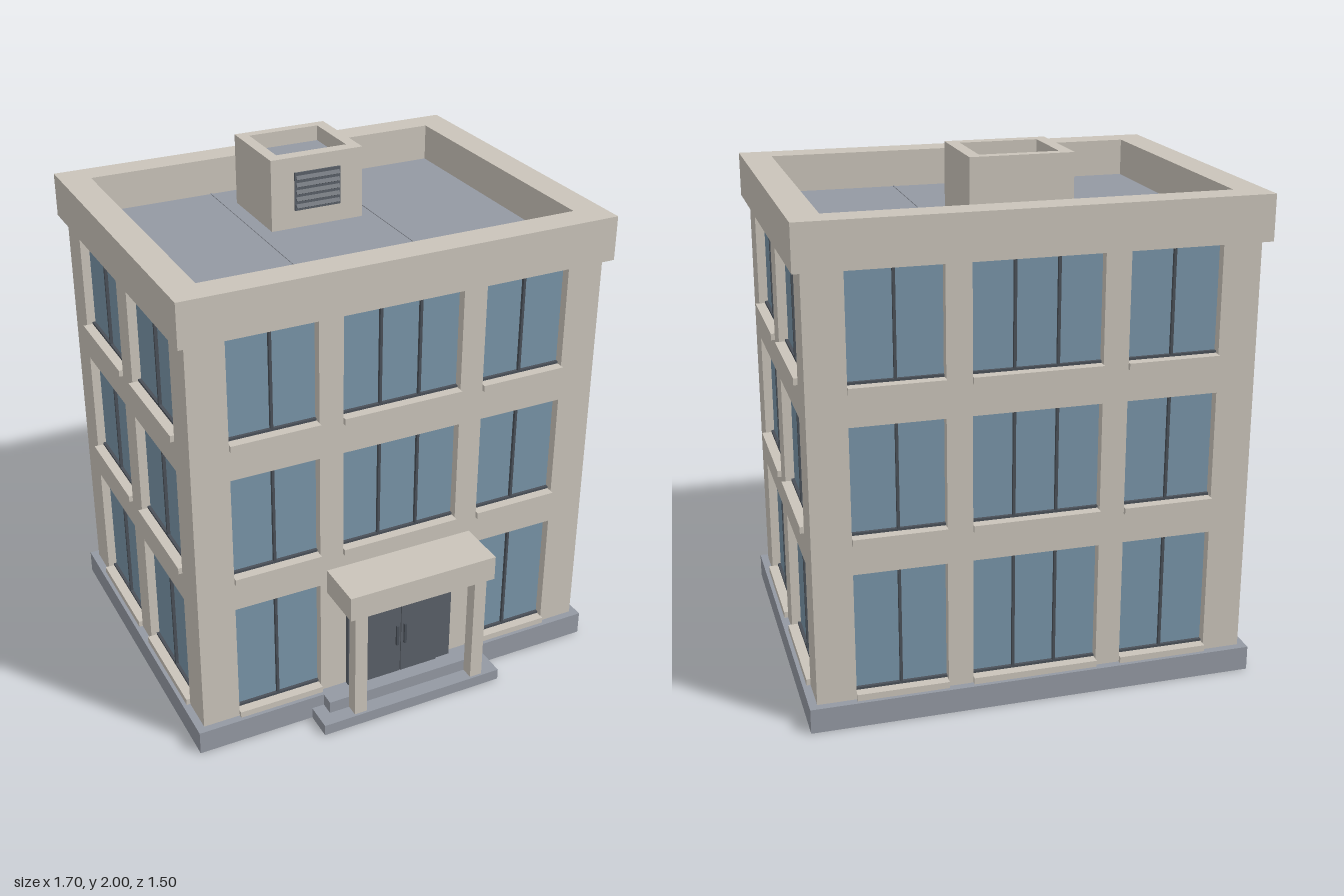
import * as THREE from 'three';

const mat = (name, color) => Object.assign(new THREE.MeshStandardMaterial({ color }), { name });

export function createModel() {
  const stone = mat('stone', 0xcac4ba);
  const slate = mat('slate', 0x9499a3);
  const glass = mat('glass', 0x7894a8);
  const dark = mat('dark metal', 0x5a6068);
  const frame = mat('frame', 0x4a5058);

  const model = new THREE.Group();
  model.name = 'officeBuilding';

  // Box given by its limits on each axis
  const box = (parent, name, material, [x0, x1], [y0, y1], [z0, z1]) => {
    const mesh = new THREE.Mesh(new THREE.BoxGeometry(x1 - x0, y1 - y0, z1 - z0), material);
    mesh.position.set((x0 + x1) / 2, (y0 + y1) / 2, (z0 + z1) / 2);
    mesh.name = name;
    parent.add(mesh);
    return mesh;
  };
  const rect = (Type, x0, x1, y0, y1) => new Type([[x0, y0], [x1, y0], [x1, y1], [x0, y1]]
    .map(([x, y]) => new THREE.Vector2(x, y)));
  const extrude = (parent, name, material, shape, depth) => {
    const mesh = new THREE.Mesh(new THREE.ExtrudeGeometry(shape, { depth, bevelEnabled: false }), material);
    mesh.name = name;
    parent.add(mesh);
    return mesh;
  };
  // Upright rectangular ring: outer and inner limits in x and z
  const ring = (name, x, z0, z1, ix, iz0, iz1, y0, y1) => {
    const shape = rect(THREE.Shape, -x, x, -z1, -z0);
    shape.holes.push(rect(THREE.Path, -ix, ix, -iz1, -iz0));
    const mesh = extrude(model, name, stone, shape, y1 - y0);
    mesh.rotation.x = -Math.PI / 2;
    mesh.position.y = y0;
  };

  // One outer wall in its own plane: outer face at z = 0, facing +z
  const WALL = 0.045, RECESS = 0.035;
  const floors = [[0.095, 0.59], [0.705, 1.14], [1.26, 1.695]];
  const facade = (name, half, bays, skip) => {
    const group = new THREE.Group();
    group.name = name;
    const shape = rect(THREE.Shape, -half, half, 0.05, 1.72);
    floors.forEach(([y0, y1], floor) => bays.forEach(([x0, x1, panes]) => {
      if (skip && floor === 0 && panes === 3) return;
      shape.holes.push(rect(THREE.Path, x0, x1, y0, y1));
      box(group, 'windowGlass', glass, [x0, x1], [y0, y1], [-RECESS - 0.008, -RECESS]);
      box(group, 'windowSill', stone, [x0, x1], [y0, y0 + 0.025], [-RECESS, 0.015]);
      box(group, 'windowRail', frame, [x0, x1], [y0 + 0.025, y0 + 0.034], [-RECESS, -RECESS + 0.012]);
      for (let i = 1; i < panes; i++) {
        const x = x0 + (x1 - x0) * i / panes;
        box(group, 'mullion', frame, [x - 0.005, x + 0.005], [y0 + 0.025, y1], [-RECESS, -RECESS + 0.012]);
      }
    }));
    extrude(group, 'wall', stone, shape, WALL).position.z = -WALL;
    model.add(group);
    return group;
  };
  const longBays = [[-0.675, -0.332, 2], [-0.238, 0.238, 3], [0.332, 0.675, 2]];
  const sideBays = [[-0.49, -0.055, 2], [0.055, 0.49, 2]];
  const midZ = -0.085;
  facade('frontFacade', 0.82, longBays, true).position.z = 0.55;
  const back = facade('backFacade', 0.82, longBays, false);
  back.rotation.y = Math.PI;
  back.position.z = -0.72;
  for (const s of [1, -1]) {
    const side = facade(s > 0 ? 'leftFacade' : 'rightFacade', 0.635 - WALL, sideBays, false);
    side.rotation.y = s * Math.PI / 2;
    side.position.set(s * 0.82, 0, midZ);
  }

  // Base and entrance steps
  box(model, 'plinth', slate, [-0.85, 0.85], [0, 0.095], [-0.75, 0.58]);
  box(model, 'lowerStep', slate, [-0.385, 0.385], [0, 0.045], [0.58, 0.695]);
  box(model, 'upperStep', slate, [-0.335, 0.335], [0.045, 0.095], [0.58, 0.635]);

  // Roof deck with raised seams, and the parapet around it
  box(model, 'roofDeck', slate, [-0.775, 0.775], [1.7, 1.72], [-0.675, 0.505]);
  for (const x of [-0.245, 0.245])
    box(model, 'roofSeam', slate, [x - 0.003, x + 0.003], [1.72, 1.723], [-0.64, 0.465]);
  ring('parapet', 0.85, -0.75, 0.58, 0.735, -0.64, 0.465, 1.695, 1.865);

  // Rooftop plant housing with louvred vent
  ring('plantHousing', 0.19, -0.505, -0.16, 0.145, -0.465, -0.21, 1.72, 2);
  box(model, 'plantHousingRoof', slate, [-0.145, 0.145], [1.92, 1.94], [-0.465, -0.21]);
  box(model, 'ventPanel', dark, [-0.095, 0.095], [1.79, 1.94], [-0.16, -0.154]);
  for (let i = 0; i < 5; i++) {
    const slat = box(model, 'ventSlat', dark, [-0.09, 0.09], [1.8 + i * 0.028, 1.816 + i * 0.028], [-0.154, -0.149]);
    slat.rotation.x = -0.5;
  }

  // Entrance doors with pull handles
  box(model, 'doorSurround', dark, [-0.225, 0.225], [0.095, 0.55], [0.55, 0.572]);
  for (const s of [-1, 1]) {
    const span = (a, b) => (s > 0 ? [a, b] : [-b, -a]);
    box(model, 'doorLeaf', dark, span(0.002, 0.162), [0.095, 0.548], [0.572, 0.578]);
    box(model, 'doorHandle', frame, span(0.012, 0.022), [0.23, 0.32], [0.578, 0.588]);
    box(model, 'canopyPost', stone, span(0.228, 0.279), [0.095, 0.55], [0.686, 0.737]);
  }
  box(model, 'canopy', stone, [-0.305, 0.305], [0.55, 0.65], [0.55, 0.75]);

  return model;
}
